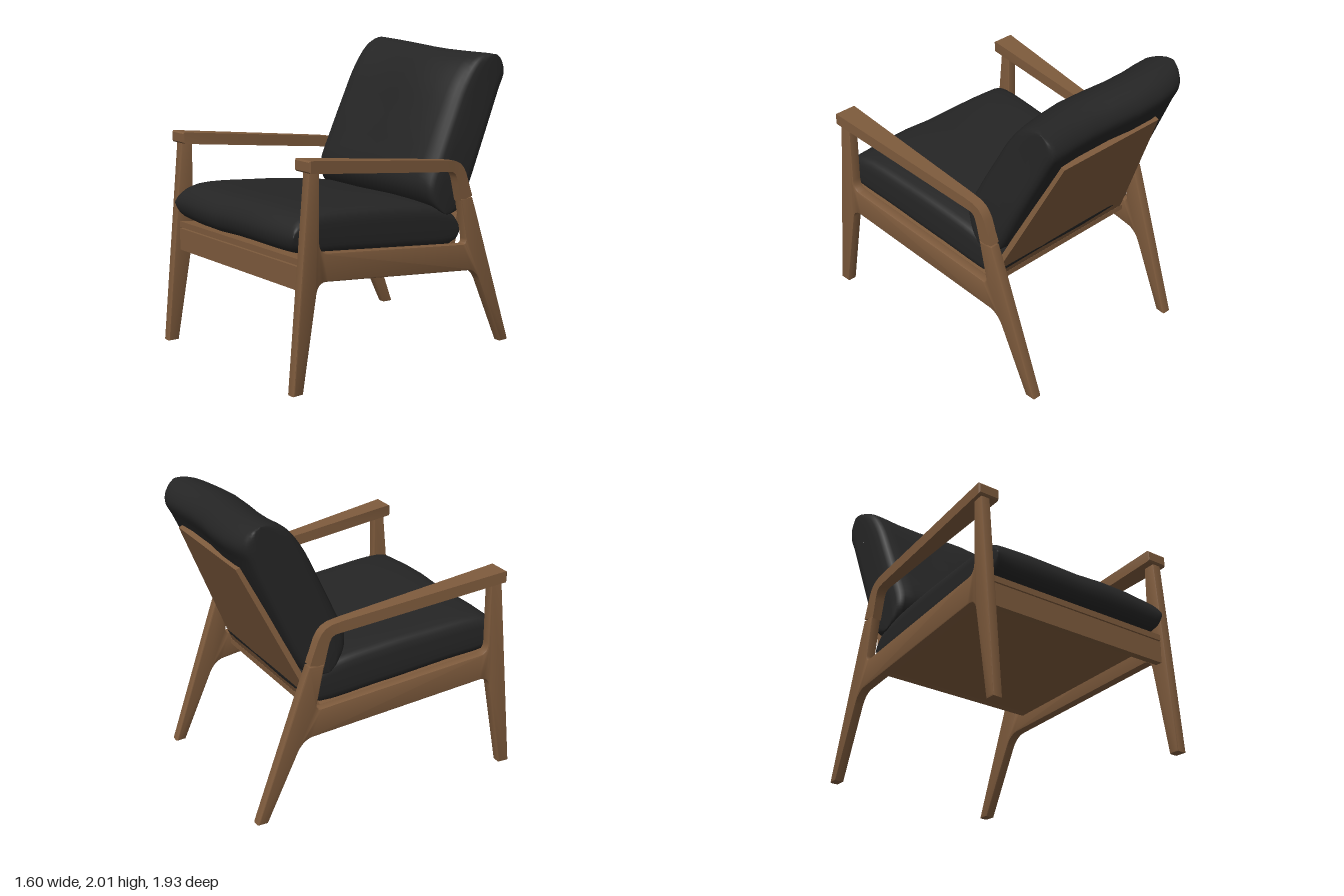
import * as THREE from 'three';
import { toCreasedNormals } from 'three/addons/utils/BufferGeometryUtils.js';

const wood = new THREE.MeshStandardMaterial({ color: 0x7d5a3c });
wood.name = 'walnut wood';
const fabric = new THREE.MeshStandardMaterial({ color: 0x252525 });
fabric.name = 'black fabric';

// Skin a row of closed rings, each a list of [x, y, z]
function loft(rings, capped) {
  const n = rings[0].length, index = [];
  for (let i = 0; i < rings.length - 1; i++) {
    for (let j = 0; j < n; j++) {
      const a = i * n + j, b = i * n + (j + 1) % n, c = a + n, d = b + n;
      index.push(a, c, b, b, c, d);
    }
  }
  if (capped) {
    const e = (rings.length - 1) * n;
    for (let j = 1; j < n - 1; j++) index.push(0, j, j + 1, e, e + j + 1, e + j);
  }
  const g = new THREE.BufferGeometry();
  g.setAttribute('position', new THREE.Float32BufferAttribute(rings.flat(2), 3));
  g.setIndex(index);
  g.computeVertexNormals();
  return g;
}

function add(parent, name, geometry, material) {
  const m = new THREE.Mesh(geometry, material);
  m.name = name;
  parent.add(m);
  return m;
}

// Move every vertex of a geometry by a rule
function bend(g, rule) {
  const p = g.attributes.position, v = new THREE.Vector3();
  for (let i = 0; i < p.count; i++) {
    v.fromBufferAttribute(p, i);
    rule(v);
    p.setXYZ(i, v.x, v.y, v.z);
  }
  g.computeVertexNormals();
  return g;
}

// Side frame: both legs and the rail in one outline, splayed toward the front
function sideFrame(s) {
  const o = new THREE.Shape();
  o.moveTo(0.96, 0);
  o.lineTo(0.83, 1.39);
  o.lineTo(0.75, 1.39);
  o.lineTo(0.752, 0.94);
  o.quadraticCurveTo(0.752, 0.868, 0.69, 0.862);
  o.lineTo(-0.48, 0.74);
  o.quadraticCurveTo(-0.51, 0.737, -0.508, 0.775);
  o.lineTo(-0.452, 1.05);
  o.lineTo(-0.56, 1.05);
  o.lineTo(-0.594, 0.96);
  o.lineTo(-0.93, 0);
  o.lineTo(-0.86, 0);
  o.lineTo(-0.64, 0.47);
  o.quadraticCurveTo(-0.60, 0.547, -0.53, 0.554);
  o.lineTo(0.69, 0.68);
  o.quadraticCurveTo(0.76, 0.688, 0.775, 0.62);
  o.lineTo(0.885, 0);
  const g = new THREE.ExtrudeGeometry(o, {
    depth: 0.048, curveSegments: 8, bevelEnabled: true,
    bevelThickness: 0.01, bevelSize: 0.01, bevelOffset: -0.01, bevelSegments: 2,
  });
  g.translate(0, 0, -0.024);
  g.rotateY(-Math.PI / 2);
  return toCreasedNormals(bend(g, (v) => { v.x += s * (0.688 + 0.057 * v.z); }), 0.6);
}

// Armrest: broad at the front, tapering and curling down into the rear leg
function armrest(s) {
  // top z, top y, bottom z, bottom y, inner x, outer x
  const sections = [
    [0.85, 1.44, 0.85, 1.382, 0.65, 0.792],
    [0.84, 1.45, 0.84, 1.372, 0.645, 0.798],
    [0.2, 1.38, 0.2, 1.302, 0.637, 0.745],
    [-0.32, 1.323, -0.33, 1.245, 0.629, 0.703],
    [-0.40, 1.31, -0.378, 1.238, 0.627, 0.697],
    [-0.445, 1.29, -0.402, 1.222, 0.626, 0.695],
    [-0.475, 1.26, -0.416, 1.195, 0.625, 0.694],
    [-0.498, 1.22, -0.426, 1.16, 0.624, 0.693],
    [-0.556, 1.06, -0.455, 1.035, 0.623, 0.691],
  ];
  const rings = sections.map(([zt, yt, zb, yb, xi, xo]) => {
    const [l, r] = s > 0 ? [xi, xo] : [-xo, -xi];
    return [[l, yt, zt], [l, yb, zb], [r, yb, zb], [r, yt, zt]];
  });
  return toCreasedNormals(loft(rings, true), 0.6);
}

// Cushion: a side profile [z, y] swept across x, thinning to a seam line at both ends
function cushion(profile, a, b, place) {
  const curve = new THREE.CatmullRomCurve3(profile.map(([z, y]) => new THREE.Vector3(0, y, z)), true);
  const pts = curve.getPoints(64).slice(0, -1);
  const len = Math.hypot(b[0] - a[0], b[1] - a[1]);
  const dz = (b[0] - a[0]) / len, dy = (b[1] - a[1]) / len;
  const half = [[1, 0], [1, 0.45], [0.99, 0.68], [0.965, 0.83], [0.92, 0.92], [0.8, 0.97], [0.6, 0.99], [0.3, 1]];
  const steps = [...half.map(([u, t]) => [-u, t]), [0, 1], ...half.slice().reverse()];
  return loft(steps.map(([u, t]) => pts.map((p) => {
    const z = p.z - a[0], y = p.y - a[1];
    const along = z * dz + y * dy, off = (y * dz - z * dy) * t;
    return place(u, a[1] + along * dy + off * dz, a[0] + along * dz - off * dy);
  })), false);
}

export function createModel() {
  const chair = new THREE.Group();
  chair.name = 'armchair';

  for (const [side, s] of [['left', 1], ['right', -1]]) {
    add(chair, side + 'SideFrame', sideFrame(s), wood);
    add(chair, side + 'Armrest', armrest(s), wood);
  }

  // Front rail between the front legs
  const rail = add(chair, 'frontRail', new THREE.BoxGeometry(1.41, 0.15, 0.05), wood);
  rail.position.set(0, 0.71, 0.835);

  // Sloping seat panel, narrower at the back
  add(chair, 'seatPanel', bend(new THREE.BoxGeometry(2, 0.04, 1.33), (v) => {
    v.z += 0.195;
    v.x *= 0.66 + 0.055 * v.z;
    v.y += 0.813 + 0.105 * (v.z - 0.85);
  }), wood);

  // Reclined back panel, tapering toward the top
  add(chair, 'backPanel', bend(new THREE.BoxGeometry(2, 1.04, 0.035), (v) => {
    const t = v.y / 1.04 + 0.5;
    v.x *= 0.62 - 0.2 * t;
    v.y = 0.655 + 1.035 * t + v.z * 0.42;
    v.z += -0.43 - 0.47 * t;
  }), wood);

  // Seat cushion
  add(chair, 'seatCushion', cushion([
    [0.80, 0.84], [0.885, 0.88], [0.912, 0.97], [0.87, 1.05], [0.77, 1.10], [0.3, 1.09], [0, 1.065],
    [-0.3, 1.02], [-0.47, 0.95], [-0.515, 0.85], [-0.48, 0.735], [0, 0.755], [0.5, 0.81],
  ], [-0.5, 0.84], [0.9, 0.97], (u, y, z) => [
    u * (0.642 + 0.056 * z), y + 0.004 * Math.sin(u * 5), z - 0.008 * (1 + Math.cos(u * 7)) * Math.max(0, z),
  ]), fabric);

  // Back cushion, slightly slumped toward the chair's left
  add(chair, 'backCushion', cushion([
    [-0.24, 1.09], [-0.23, 1.18], [-0.31, 1.37], [-0.42, 1.6], [-0.535, 1.82], [-0.66, 1.96],
    [-0.80, 2.0], [-0.91, 1.95], [-0.955, 1.86], [-0.9, 1.73], [-0.73, 1.35], [-0.585, 1.03],
    [-0.53, 0.955], [-0.42, 0.935], [-0.31, 0.99],
  ], [-0.40, 1.0], [-0.83, 1.95], (u, y, z) => {
    const t = THREE.MathUtils.smoothstep(y, 1.1, 2);
    const width = 0.625 - t * (u > 0 ? 0.055 : 0.012);
    return [u * width, y - t * (0.02 * (u + 0.6) - 0.012 * u * u), z + t * 0.02 * Math.sin(u * 4 + 0.5)];
  }), fabric);

  return chair;
}
